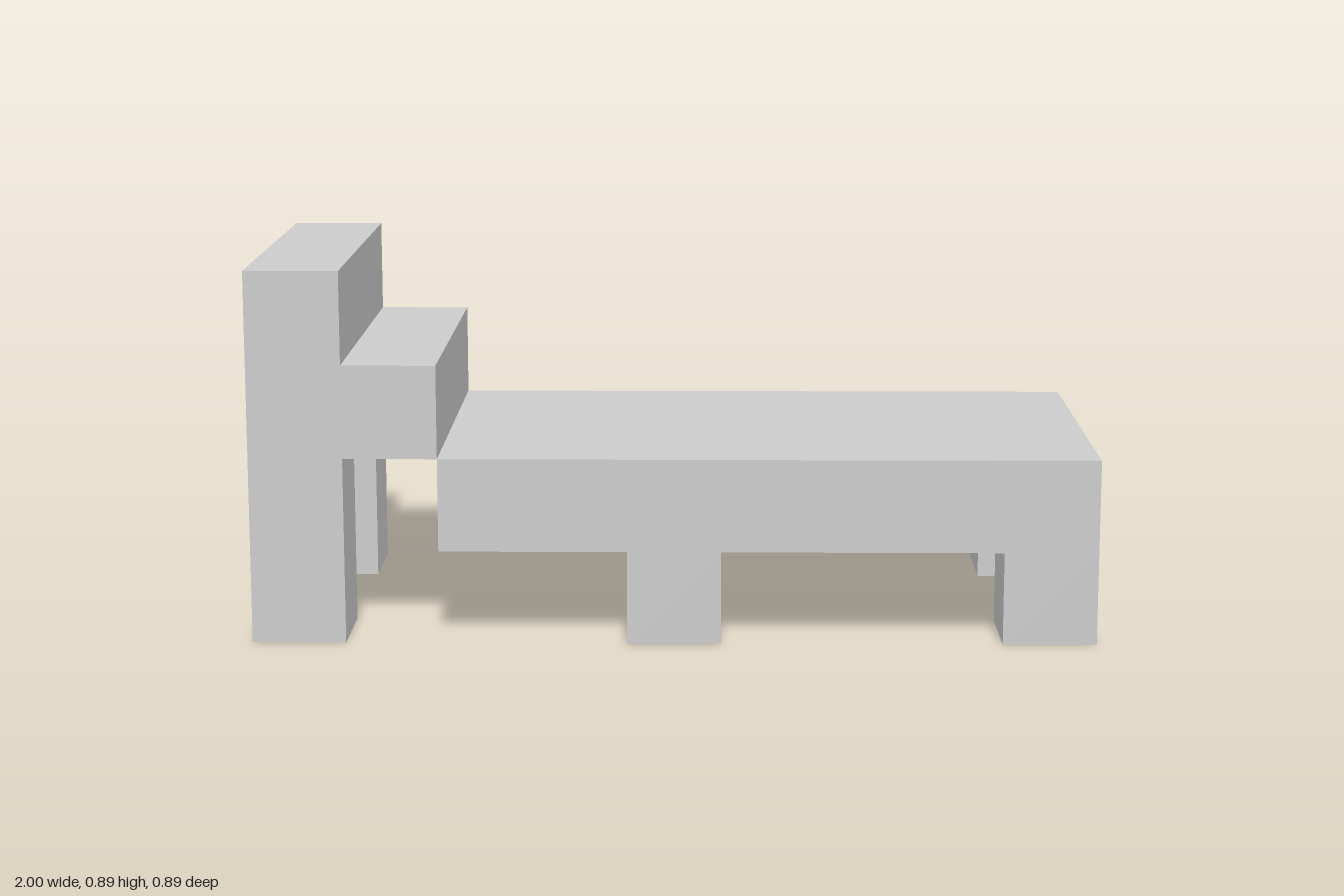
import * as THREE from 'three';

// Everything sits on a grid of nine units along the length
const U = 2 / 9;
const material = new THREE.MeshStandardMaterial({ color: 0xcccccc, flatShading: true });

// Box from its x and y limits and z limits, in grid units
function block(name, [x0, x1], [y0, y1], [z0, z1]) {
  const geometry = new THREE.BoxGeometry((x1 - x0) * U, (y1 - y0) * U, (z1 - z0) * U);
  const mesh = new THREE.Mesh(geometry, material);
  mesh.position.set((x0 + x1) / 2 * U, (y0 + y1) / 2 * U, (z0 + z1) / 2 * U);
  mesh.name = name;
  return mesh;
}

// Headboard: an arch of two posts and a top rail, extruded along x
function headboard() {
  const outline = [[-2, 0], [-1, 0], [-1, 3], [1, 3], [1, 0], [2, 0], [2, 4], [-2, 4]];
  const shape = new THREE.Shape(outline.map(([z, y]) => new THREE.Vector2(z * U, y * U)));
  const geometry = new THREE.ExtrudeGeometry(shape, { depth: U, bevelEnabled: false });
  geometry.rotateY(Math.PI / 2);
  const mesh = new THREE.Mesh(geometry, material);
  mesh.position.x = -4.5 * U;
  mesh.name = 'headboard';
  return mesh;
}

export function createModel() {
  const bed = new THREE.Group();
  bed.name = 'bed';
  bed.add(headboard());

  // Pillow step bridging the headboard and the mattress
  bed.add(block('pillow', [-3.5, -2.5], [2, 3], [-2, 2]));
  bed.add(block('mattress', [-2.5, 4.5], [1, 2], [-2, 2]));

  // Middle and foot-end legs, mirrored front to back
  for (const [name, x] of [['middleLeg', 0], ['footLeg', 4]]) {
    for (const z of [-1.5, 1.5]) {
      bed.add(block(name, [x - 0.5, x + 0.5], [0, 1], [z - 0.5, z + 0.5]));
    }
  }
  return bed;
}
